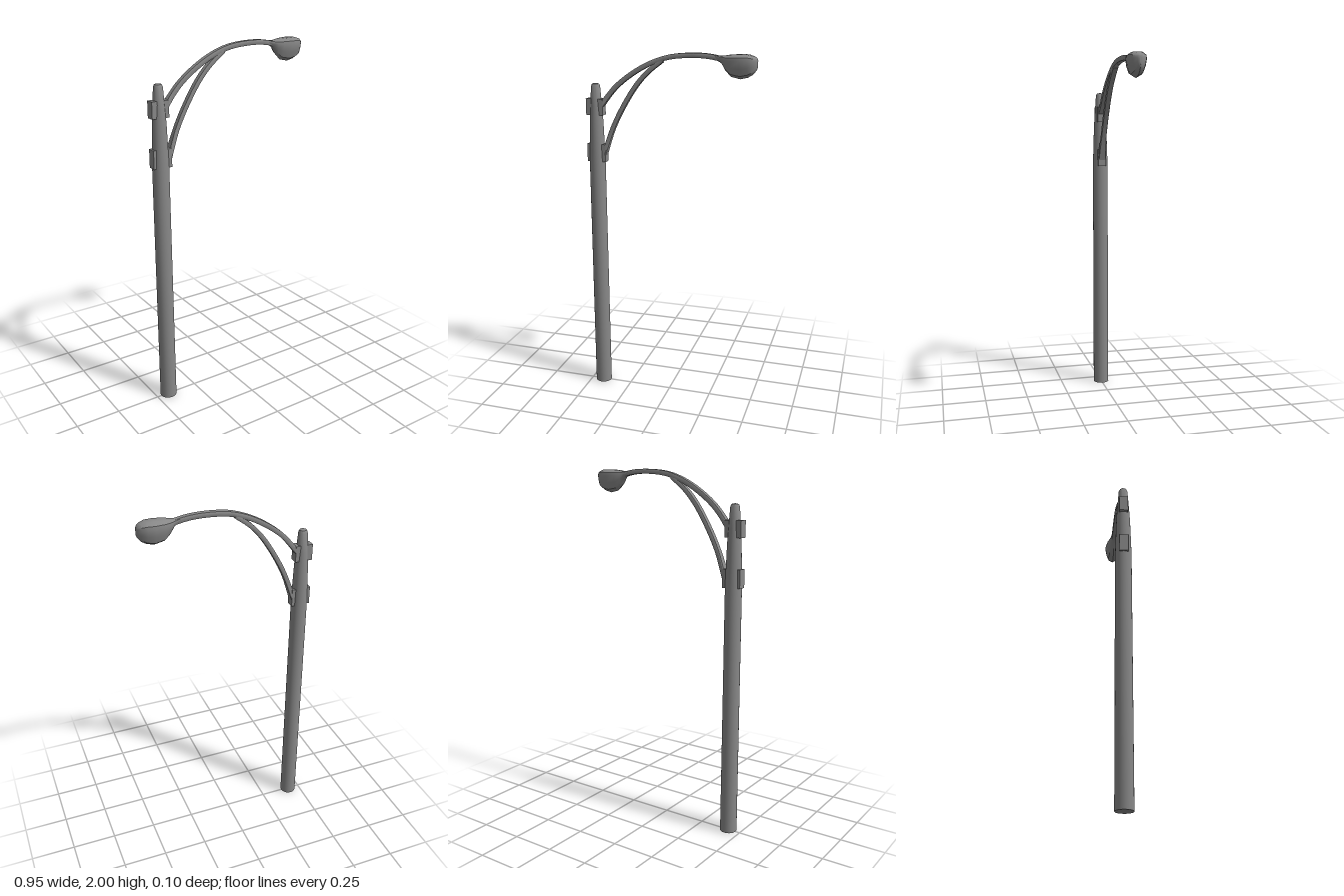
import * as THREE from 'three';
import { toCreasedNormals } from 'three/addons/utils/BufferGeometryUtils.js';

const material = new THREE.MeshStandardMaterial({ color: 0x888888 });
const POLE_X = -0.427;

// Skin a list of equal-length rings and cap both ends.
// Rings advance along +x and turn from +y towards +z.
function loft(rings, crease) {
  const n = rings[0].length;
  const pos = rings.flat().flatMap((p) => [p.x, p.y, p.z]);
  const index = [];
  for (let i = 0; i < rings.length - 1; i++) {
    for (let j = 0; j < n; j++) {
      const a = i * n + j, b = i * n + (j + 1) % n;
      index.push(a, b, a + n, b, b + n, a + n);
    }
  }
  const last = (rings.length - 1) * n;
  for (let j = 1; j < n - 1; j++) {
    index.push(0, j + 1, j, last, last + j, last + j + 1);
  }
  const geo = new THREE.BufferGeometry();
  geo.setAttribute('position', new THREE.Float32BufferAttribute(pos, 3));
  geo.setIndex(index);
  return toCreasedNormals(geo, crease);
}

// Bevelled bar following a curve in the xy plane, widened over the first flareLength of it.
function armGeometry(points, steps, halfThick, flareLength) {
  const curve = new THREE.CatmullRomCurve3(points.map(([x, y]) => new THREE.Vector3(x, y, 0)));
  const section = [[-0.85, 1], [0.85, 1], [1, 0.6], [1, -0.6], [0.85, -1], [-0.85, -1], [-1, -0.6], [-1, 0.6]];
  const rings = [];
  for (let i = 0; i <= steps; i++) {
    const t = i / steps;
    const p = curve.getPointAt(t), d = curve.getTangentAt(t);
    const halfWidth = 0.016 + 0.008 * Math.max(0, 1 - t / flareLength);
    rings.push(section.map(([w, h]) => new THREE.Vector3(
      p.x - d.y * h * halfThick, p.y + d.x * h * halfThick, w * halfWidth
    )));
  }
  return loft(rings, 0.5);
}

export function createModel() {
  const group = new THREE.Group();
  const add = (name, geo, x = 0, y = 0, z = 0) => {
    const mesh = new THREE.Mesh(geo, material);
    mesh.name = name;
    mesh.position.set(x, y, z);
    group.add(mesh);
  };

  // Pole: straight shaft, tapered neck, bevelled cap
  const profile = [[0, 0], [0.047, 0], [0.045, 1.4], [0.038, 1.62], [0.033, 1.7], [0.025, 1.81], [0.019, 1.823], [0, 1.827]];
  const pole = new THREE.LatheGeometry(profile.map(([r, y]) => new THREE.Vector2(r, y)), 20);
  add('pole', toCreasedNormals(pole, 0.6), POLE_X);

  // Clamp plates on both sides of the pole
  const clamps = [
    ['upperOuterClamp', -0.478, -0.447, 1.652, 1.742],
    ['lowerOuterClamp', -0.478, -0.447, 1.39, 1.49],
    ['upperInnerClamp', -0.407, -0.38, 1.652, 1.742],
    ['lowerInnerClamp', -0.407, -0.371, 1.388, 1.488],
  ];
  for (const [name, x0, x1, y0, y1] of clamps) {
    add(name, new THREE.BoxGeometry(x1 - x0, y1 - y0, 0.048), (x0 + x1) / 2, (y0 + y1) / 2);
  }

  // Curved upper arm and lower brace, each flaring at its foot
  add('upperArm', armGeometry([
    [-0.4, 1.695], [-0.36, 1.748], [-0.3, 1.815], [-0.2, 1.89], [-0.1, 1.943],
    [0, 1.975], [0.13, 1.987], [0.22, 1.983], [0.3, 1.968],
  ], 24, 0.013, 0.09));
  add('lowerBrace', armGeometry([
    [-0.385, 1.42], [-0.365, 1.48], [-0.33, 1.575], [-0.275, 1.685],
    [-0.19, 1.818], [-0.12, 1.895], [-0.04, 1.957],
  ], 20, 0.012, 0.25));

  // Lamp head: stations of x, bottom, top, half width
  const stations = [
    [0.25, 1.967, 1.991, 0.017], [0.282, 1.95, 1.987, 0.023], [0.305, 1.912, 1.99, 0.032],
    [0.335, 1.881, 1.995, 0.042], [0.385, 1.87, 1.998, 0.05], [0.425, 1.879, 1.997, 0.046],
    [0.453, 1.896, 1.989, 0.036], [0.47, 1.918, 1.979, 0.016], [0.475, 1.932, 1.969, 0.004],
  ];
  // Head section: flat cover on top, narrower globe below
  const half = [[0.5, 0.99], [0.93, 0.87], [1, 0.72], [0.87, 0.42], [0.58, 0.13]];
  const section = [[0, 1], ...half, [0, 0], ...half.toReversed().map(([w, h]) => [-w, h])];
  add('lampHead', loft(stations.map(([x, y0, y1, w]) =>
    section.map(([s, h]) => new THREE.Vector3(x, y0 + (y1 - y0) * h, s * w))), 0.6));

  return group;
}
